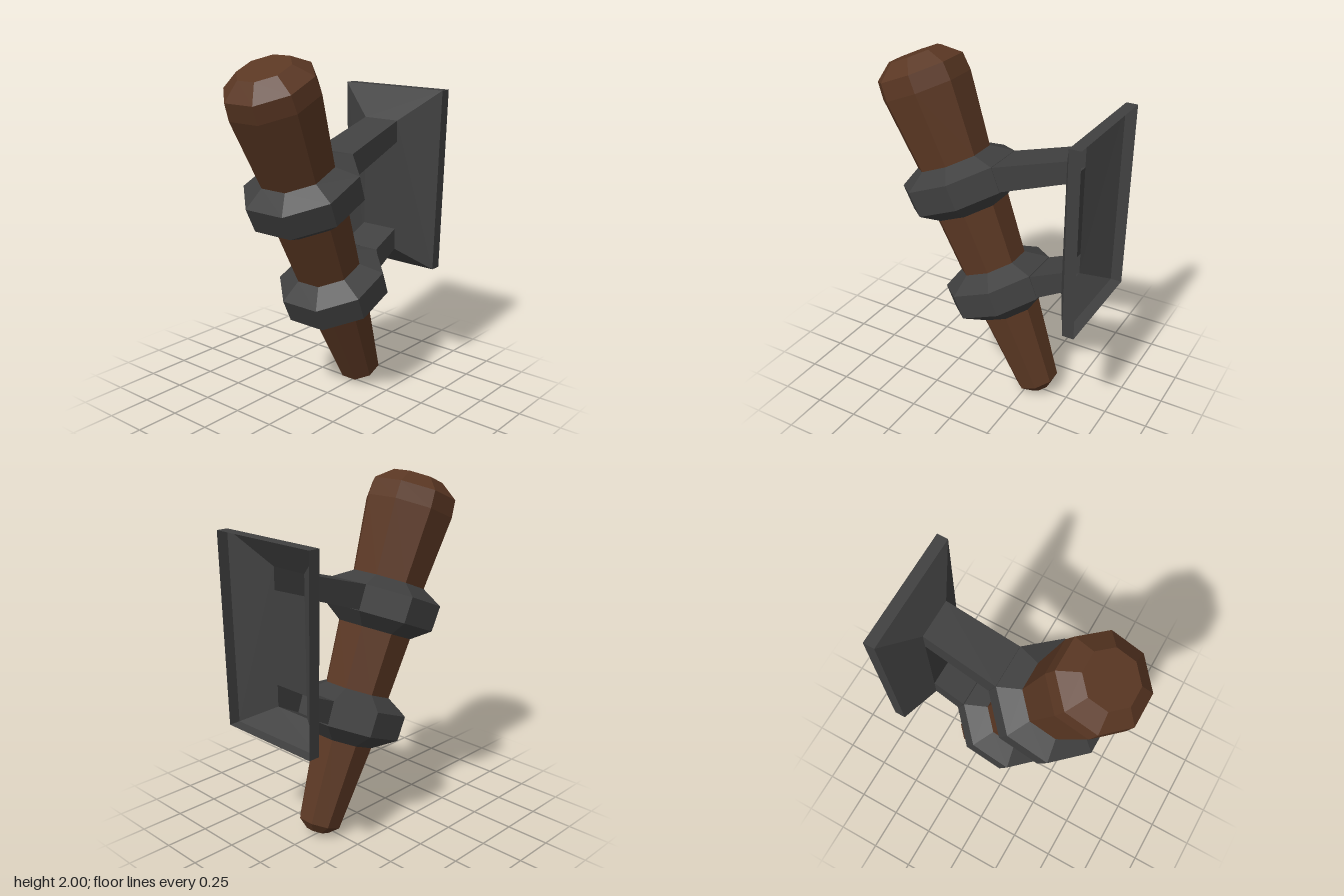
import * as THREE from 'three';

// Octagonal turned part; profile = [flat-to-centre distance, height]
function octagon(profile, material, name) {
  const k = 1 / Math.cos(Math.PI / 8);
  const pts = profile.map(([r, y]) => new THREE.Vector2(r * k, y));
  const geo = new THREE.LatheGeometry(pts, 8, Math.PI / 8).toNonIndexed();
  geo.computeVertexNormals();
  const mesh = new THREE.Mesh(geo, material);
  mesh.name = name;
  return mesh;
}

// Rectangular section, counter-clockwise seen from the front
function rect(wBottom, wTop, [yBottom, zBottom], [yTop, zTop]) {
  return [[-wBottom, yBottom, zBottom], [wBottom, yBottom, zBottom], [wTop, yTop, zTop], [-wTop, yTop, zTop]];
}

// Open skin through rectangular sections ordered back to front
function loft(sections, material, name) {
  const pos = [];
  const quad = (a, b, c, d) => pos.push(...a, ...b, ...c, ...a, ...c, ...d);
  for (let s = 0; s < sections.length - 1; s++) {
    const a = sections[s], b = sections[s + 1];
    for (let i = 0; i < 4; i++) {
      const j = (i + 1) % 4;
      quad(a[i], a[j], b[j], b[i]);
    }
  }
  if (sections.length === 1) quad(...sections[0]);
  const geo = new THREE.BufferGeometry();
  geo.setAttribute('position', new THREE.Float32BufferAttribute(pos, 3));
  geo.computeVertexNormals();
  const mesh = new THREE.Mesh(geo, material);
  mesh.name = name;
  return mesh;
}

export function createModel() {
  const wood = new THREE.MeshStandardMaterial({ color: 0x5a3723 });
  wood.name = 'brown wood';
  const iron = new THREE.MeshStandardMaterial({ color: 0x404040, side: THREE.DoubleSide });
  iron.name = 'dark iron';

  const model = new THREE.Group();
  model.name = 'wallTorch';

  // Leaning torch: tapered shaft with bevelled ends, held by two collars
  const torch = new THREE.Group();
  torch.name = 'torch';
  torch.position.set(0, 0.071, -0.307);
  torch.rotation.x = 0.4;
  torch.add(octagon([
    [0, -0.05], [0.06, -0.05], [0.115, 0], [0.163, 0.494], [0.179, 0.793],
    [0.203, 1.146], [0.2, 1.437], [0.24, 1.857], [0.232, 1.957], [0.14, 2.035], [0, 2.035],
  ], wood, 'shaft'));
  torch.add(octagon([[0.163, 0.494], [0.288, 0.58], [0.292, 0.721], [0.179, 0.793]], iron, 'lowerCollar'));
  torch.add(octagon([[0.203, 1.146], [0.303, 1.221], [0.31, 1.367], [0.2, 1.437]], iron, 'upperCollar'));
  model.add(torch);

  // Hollow wall plate, open at the back
  const front = -0.49, w = 0.115;
  model.add(loft([
    rect(0.32, 0.345, [0.69, -0.665], [1.76, -0.665]),
    rect(0.32, 0.345, [0.69, -0.6], [1.76, -0.6]),
    rect(w, w, [0.805, front], [1.58, front]),
  ], iron, 'wallPlate'));
  model.add(loft([rect(w, w, [0.93, front], [1.455, front])], iron, 'wallPlateFace'));

  // Hollow arms from plate to collars
  model.add(loft([
    rect(w, w, [1.455, front], [1.58, front]),
    rect(0.125, 0.128, [1.318, -0.111], [1.45, -0.062]),
  ], iron, 'upperArm'));
  model.add(loft([
    rect(w, w, [0.805, front], [0.93, front]),
    rect(0.119, 0.121, [0.725, -0.344], [0.848, -0.3]),
  ], iron, 'lowerArm'));

  return model;
}
